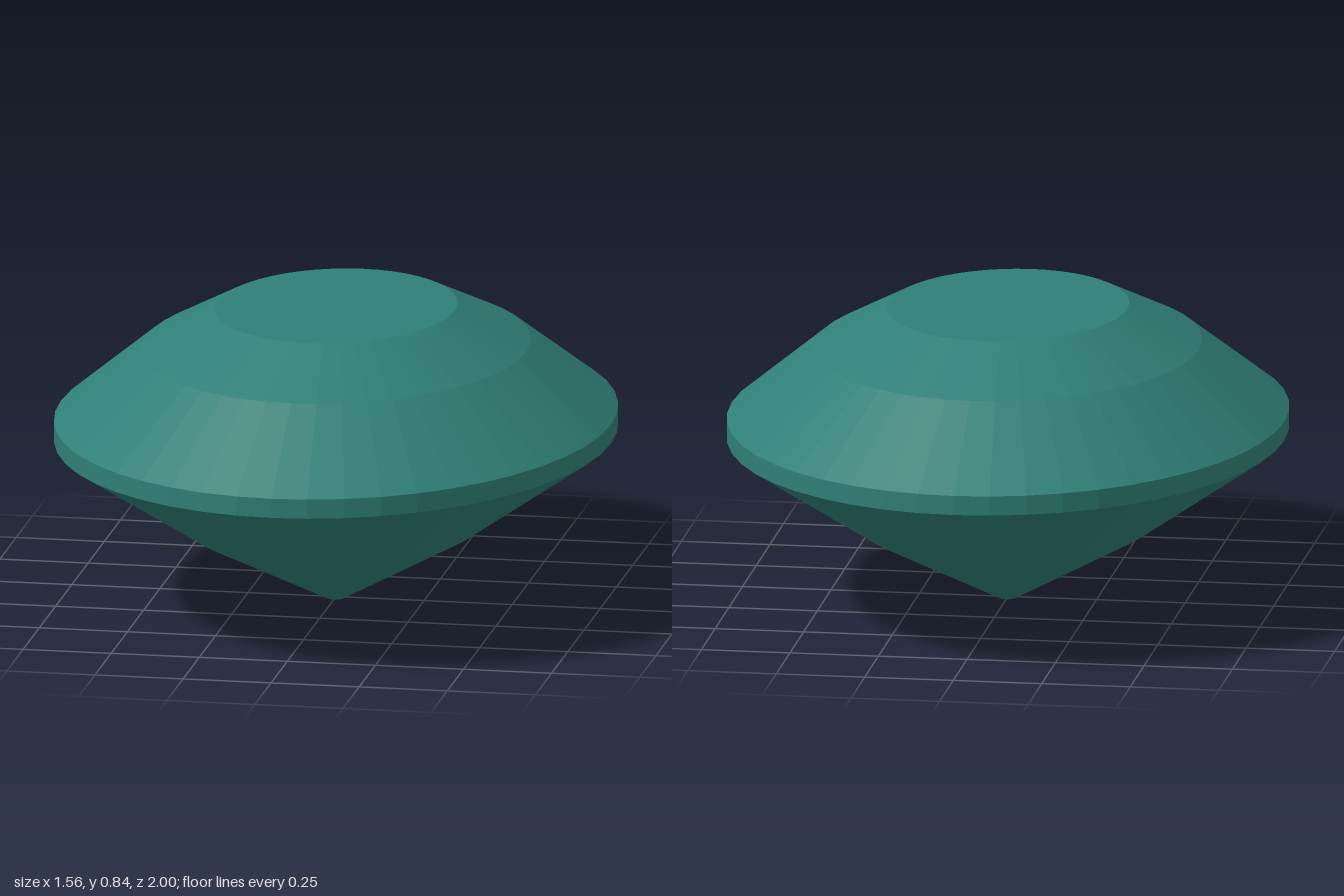
import * as THREE from 'three';

const SIDES = 48;
const WIDTH = 0.78; // oval: x radius relative to z radius

export function createModel() {
  const gem = new THREE.Group();
  gem.name = 'ovalGem';

  const teal = new THREE.MeshStandardMaterial({ color: 0x2f7f76 });
  teal.name = 'deep teal';

  // Faceted oval band from a profile of [radius, height], listed bottom to top
  function addBand(name, profile) {
    const points = profile.map(([r, y]) => new THREE.Vector2(r, y));
    const geometry = new THREE.LatheGeometry(points, SIDES).scale(WIDTH, 1, 1).toNonIndexed();
    geometry.computeVertexNormals(); // unshared corners give flat facets
    const mesh = new THREE.Mesh(geometry, teal);
    mesh.name = name;
    gem.add(mesh);
  }

  // Lower cone, ending in a small flat tip
  addBand('pavilion', [[0, 0], [0.035, 0], [0.52, 0.213], [1, 0.475]]);
  // Thin upright rim
  addBand('girdle', [[1, 0.475], [1, 0.53]]);
  // Two sloping tiers
  addBand('crown', [[1, 0.53], [0.69, 0.728], [0.43, 0.837]]);
  // Flat top
  addBand('table', [[0.43, 0.837], [0, 0.837]]);

  return gem;
}
